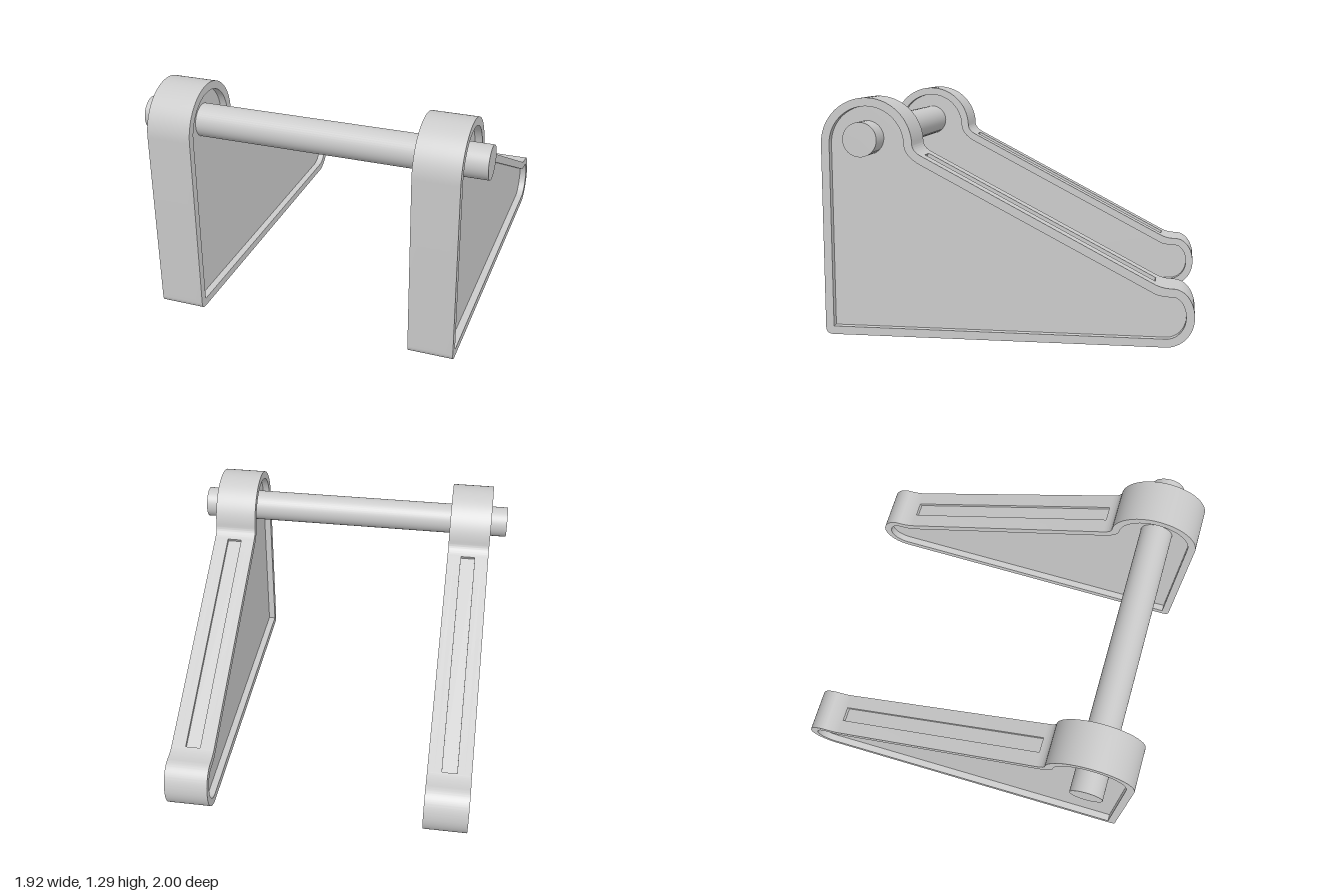
import * as THREE from 'three';
import { mergeGeometries, toCreasedNormals } from 'three/addons/utils/BufferGeometryUtils.js';

const RIM = 0.045;      // width of the raised border
const RECESS = 0.04;    // depth of the sunken side panels
const WIDTH = 0.25;     // thickness of a bracket
const SLOT = 0.085;     // width of the groove on the slope

// Height of the sloping edge at a given z, moved inwards by d
const slopeY = (z, d) => 0.751 + 0.526 * z - d * 1.13;

// Bracket profile (z, y), inset by d; optionally notched along the slope
function trace(path, d, notch = 0) {
  path.moveTo(1 - d, d ? d : 0.04);
  path.lineTo(1 - d, 1.045);
  path.absarc(0.75, 1.045, 0.25 - d, 0, Math.PI, false);
  path.quadraticCurveTo(0.495 + d, slopeY(0.495 + d, d), 0.452, slopeY(0.452, d));
  if (notch) {
    const dz = 0.466 * notch, dy = 0.885 * notch;
    path.lineTo(0.45, slopeY(0.45, d));
    path.lineTo(0.45 + dz, slopeY(0.45, d) - dy);
    path.lineTo(-0.79 + dz, slopeY(-0.79, d) - dy);
    path.lineTo(-0.79, slopeY(-0.79, d));
  }
  path.lineTo(-0.795, slopeY(-0.795, d));
  path.quadraticCurveTo(-0.835, 0.315 - d, -0.885, 0.315 - d);
  path.absellipse(-0.885, 0.16, 0.115 - d, 0.155 - d, Math.PI / 2, Math.PI, false);
  path.absellipse(-0.85, 0.16, 0.15 - d, 0.16 - d, Math.PI, Math.PI * 1.5, false);
  if (d) path.lineTo(1 - d, d);
  else {
    path.lineTo(0.96, 0);
    path.quadraticCurveTo(1, 0, 1, 0.04);
  }
  return path;
}

// Extrude a profile across x, between x0 and x1
function layer(shape, x0, x1) {
  const g = new THREE.ExtrudeGeometry(shape, { depth: x1 - x0, bevelEnabled: false, curveSegments: 24 });
  g.rotateY(-Math.PI / 2);
  g.translate(x1, 0, 0);
  return g;
}

function bracketGeometry() {
  const solid = trace(new THREE.Shape(), 0);
  const ring = trace(new THREE.Shape(), 0);
  ring.holes.push(trace(new THREE.Path(), RIM));
  const notched = trace(new THREE.Shape(), 0, 0.02);
  const outer = WIDTH / 2, panel = outer - RECESS, slot = SLOT / 2;
  return toCreasedNormals(mergeGeometries([
    layer(ring, -outer, -panel),
    layer(solid, -panel, -slot),
    layer(notched, -slot, slot),
    layer(solid, slot, panel),
    layer(ring, panel, outer),
  ]), 0.5);
}

export function createModel() {
  const group = new THREE.Group();
  const material = new THREE.MeshStandardMaterial({ color: 0xcccccc });

  // Two wedge brackets
  const geometry = bracketGeometry();
  for (const [name, x] of [['leftBracket', 0.735], ['rightBracket', -0.735]]) {
    const bracket = new THREE.Mesh(geometry, material);
    bracket.name = name;
    bracket.position.x = x;
    group.add(bracket);
  }

  // Round bar through both brackets
  const bar = new THREE.Mesh(new THREE.CylinderGeometry(0.092, 0.092, 1.92, 48), material);
  bar.name = 'crossBar';
  bar.rotation.z = Math.PI / 2;
  bar.position.set(0, 1.08, 0.755);
  group.add(bar);

  return group;
}
